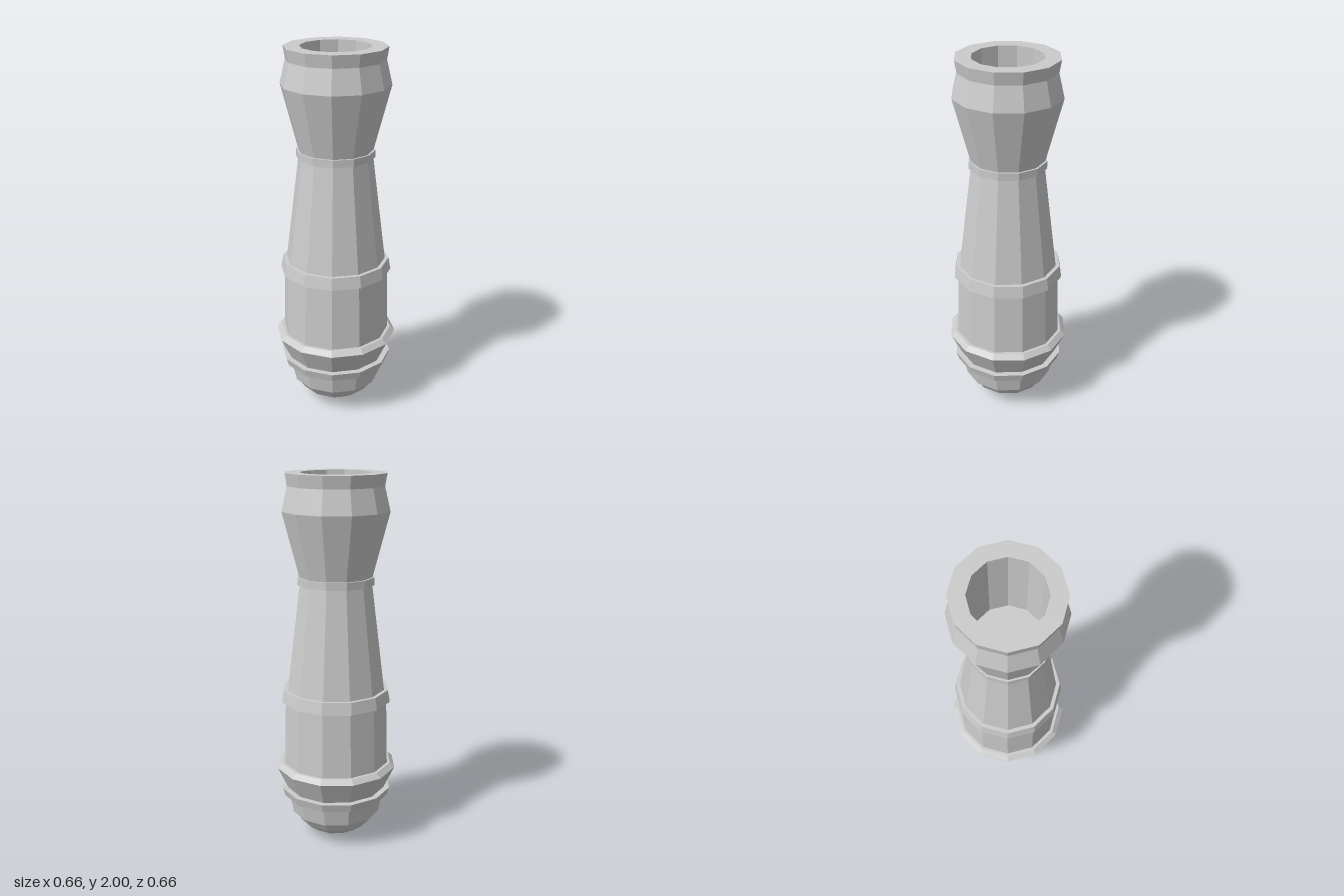
import * as THREE from 'three';

const SIDES = 12;
const material = new THREE.MeshStandardMaterial({ color: 0xcccccc, flatShading: true });

// Faceted turned part from [radius, height] pairs, listed bottom to top along the outside
function turned(name, profile) {
  const points = profile.map(([r, y]) => new THREE.Vector2(r, y));
  const mesh = new THREE.Mesh(new THREE.LatheGeometry(points, SIDES), material);
  mesh.name = name;
  return mesh;
}

// Raised band closed by flat faces that reach into the barrel
function band(name, inner, bottomRadius, bottom, topRadius, top) {
  return turned(name, [[inner, bottom], [bottomRadius, bottom], [topRadius, top], [inner, top]]);
}

export function createModel() {
  const model = new THREE.Group();
  model.name = 'cannonBarrel';

  model.add(
    // Rounded closed end
    turned('breechDome', [[0, 0], [0.07, 0.011], [0.135, 0.036], [0.195, 0.08], [0.235, 0.14]]),
    turned('breechCollar', [[0.2, 0.14], [0.245, 0.14], [0.265, 0.25]]),
    band('breechRing', 0.24, 0.292, 0.245, 0.305, 0.29),
    turned('breechFlare', [[0.273, 0.29], [0.332, 0.415], [0.306, 0.44], [0.27, 0.44]]),

    // Main tube
    turned('rearBarrel', [[0.29, 0.44], [0.28, 0.8]]),
    band('middleRing', 0.25, 0.3, 0.795, 0.288, 0.86),
    turned('frontBarrel', [[0.268, 0.855], [0.195, 1.435]]),
    band('neckRing', 0.185, 0.207, 1.43, 0.207, 1.47),

    // Flared muzzle, lip and hollow bore down to its floor
    turned('muzzle', [
      [0.195, 1.465], [0.285, 1.81], [0.255, 1.935], [0.266, 2],
      [0.183, 2], [0.183, 1.5], [0, 1.5],
    ]),
  );
  return model;
}
